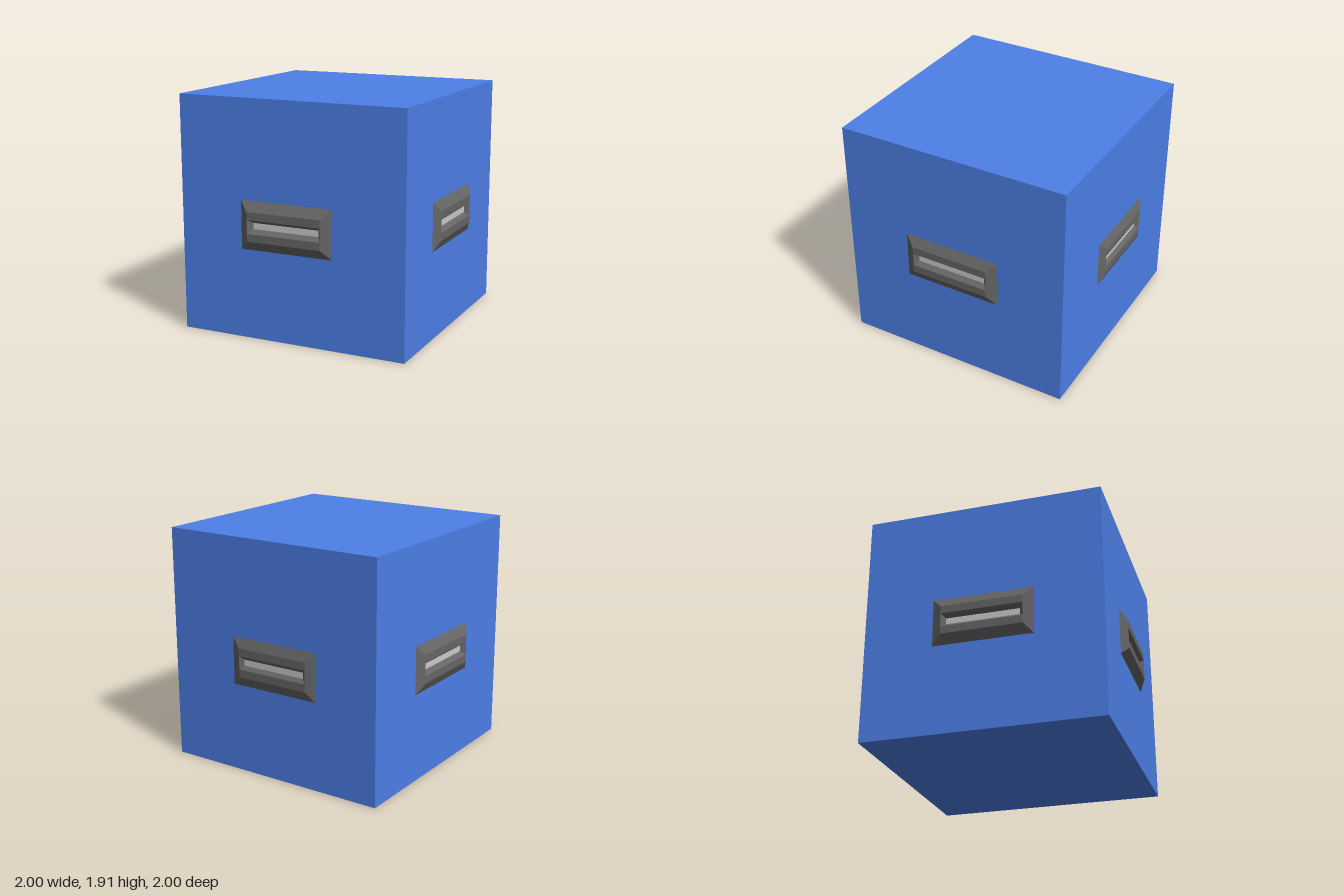
import * as THREE from 'three';

const blue = new THREE.MeshStandardMaterial({ color: 0x4d80e8, flatShading: true });
const dark = new THREE.MeshStandardMaterial({ color: 0x666666, flatShading: true });
const light = new THREE.MeshStandardMaterial({ color: 0xcccccc, flatShading: true });

// Rectangular loop, counter-clockwise seen from the front
const loop = (hw, hh, z) => [[-hw, -hh, z], [hw, -hh, z], [hw, hh, z], [-hw, hh, z]];

// Joins successive rectangular loops with flat facets
function bridgeLoops(loops) {
  const pos = [];
  for (let k = 0; k < loops.length - 1; k++) {
    for (let i = 0; i < 4; i++) {
      const j = (i + 1) % 4;
      const a = loops[k][i], b = loops[k][j], c = loops[k + 1][j], d = loops[k + 1][i];
      pos.push(...a, ...b, ...c, ...a, ...c, ...d);
    }
  }
  const geo = new THREE.BufferGeometry();
  geo.setAttribute('position', new THREE.Float32BufferAttribute(pos, 3));
  geo.computeVertexNormals();
  return geo;
}

// Bevelled plate with a tapering recessed slot, facing +z, its back on z = 0
function createHandle(name, halfWidth, height) {
  const group = new THREE.Group();
  group.name = name;
  const floorZ = 0.004;
  const frame = new THREE.Mesh(bridgeLoops([
    loop(halfWidth, 0.196, 0),
    loop(halfWidth - 0.076, 0.118, height),
    loop(halfWidth - 0.078, 0.055, height),
    loop(halfWidth - 0.11, 0.025, floorZ),
  ]), dark);
  frame.name = name + 'Frame';
  const floor = new THREE.Mesh(new THREE.PlaneGeometry(2 * halfWidth - 0.22, 0.05), light);
  floor.name = name + 'SlotFloor';
  floor.position.z = floorZ;
  group.add(frame, floor);
  return group;
}

export function createModel() {
  const model = new THREE.Group();
  model.name = 'crate';

  // Plain cube body
  const body = new THREE.Mesh(new THREE.BoxGeometry(1.916, 1.91, 1.916), blue);
  body.name = 'body';
  body.position.set(0, 0.955, -0.011);
  model.add(body);

  // One slotted plate per side: name, half width, protrusion, x, z, turn
  const sides = [
    ['frontHandle', 0.391, 0.053, -0.03, 0.947, 0],
    ['leftHandle', 0.405, 0.042, 0.958, 0, Math.PI / 2],
    ['backHandle', 0.391, 0.031, -0.03, -0.969, Math.PI],
    ['rightHandle', 0.405, 0.042, -0.958, 0, -Math.PI / 2],
  ];
  for (const [name, halfWidth, height, x, z, turn] of sides) {
    const handle = createHandle(name, halfWidth, height);
    handle.position.set(x, 0.918, z);
    handle.rotation.y = turn;
    model.add(handle);
  }
  return model;
}
